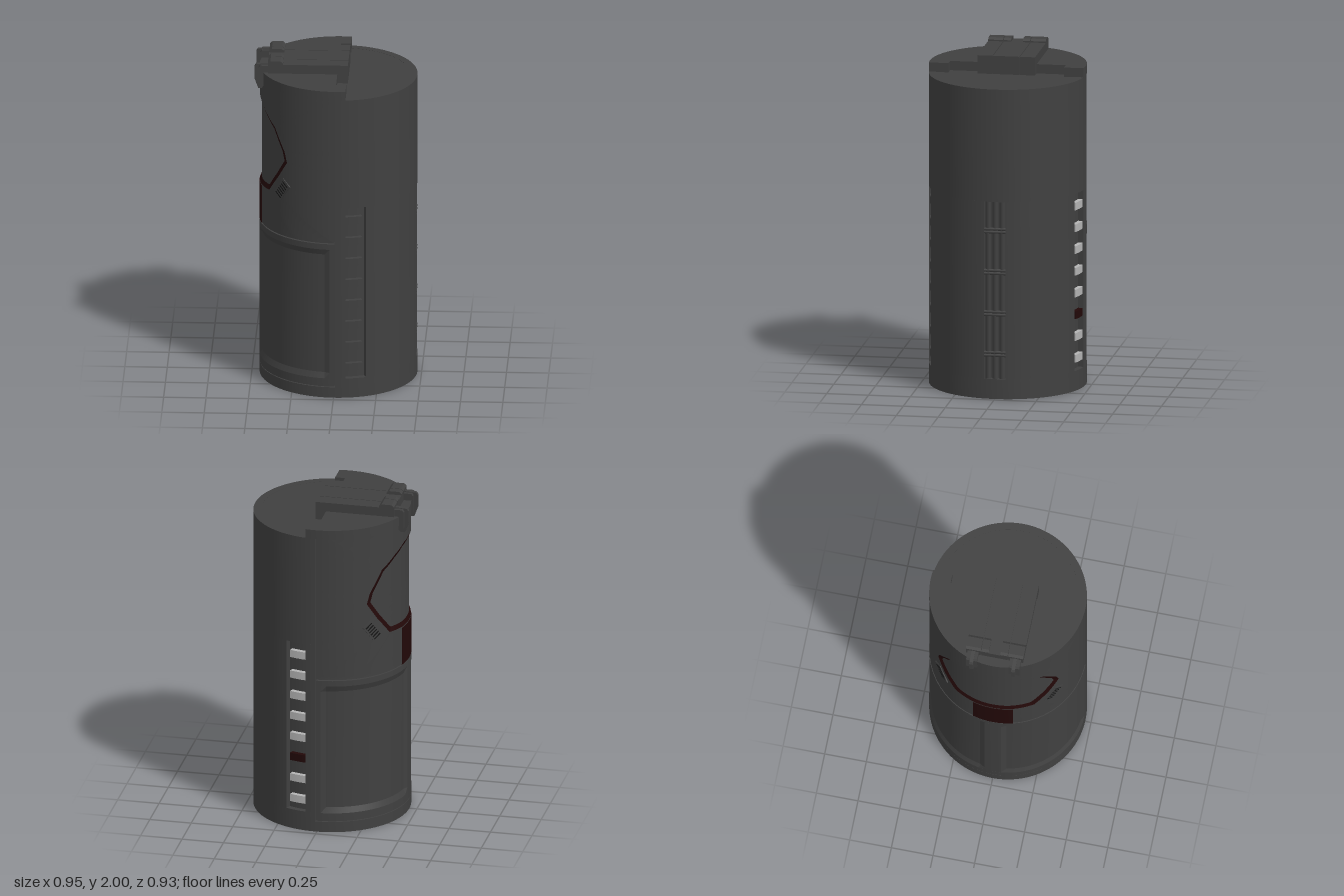
import * as THREE from 'three';
import { toCreasedNormals } from 'three/addons/utils/BufferGeometryUtils.js';

const CX = 0.01, R = 0.465, D = Math.PI / 180;
const mat = (name, color) => Object.assign(new THREE.MeshStandardMaterial({ color }), { name });

export function createModel() {
  const model = new THREE.Group();
  const grey = mat('dark grey', 0x404040);
  const red = mat('dark red', 0x220808);
  const light = mat('light grey', 0xb4b4b4);
  const black = mat('vent black', 0x161616);

  const add = (name, geo, material = grey, parent = model) => {
    const m = new THREE.Mesh(geo, material);
    m.name = name;
    parent.add(m);
    return m;
  };
  const box = (name, x0, x1, y0, y1, z0, z1, material) =>
    add(name, new THREE.BoxGeometry(x1 - x0, y1 - y0, z1 - z0), material)
      .position.set((x0 + x1) / 2, (y0 + y1) / 2, (z0 + z1) / 2);

  // Upright prism from a plan outline in x and z
  const prism = (pts, y0, y1) => {
    const g = new THREE.ExtrudeGeometry(new THREE.Shape(pts), { depth: y1 - y0, bevelEnabled: false });
    g.rotateX(Math.PI / 2).translate(CX, y1, 0);
    return toCreasedNormals(g, 0.4);
  };
  const arc = (r, a0, a1) => {
    const n = Math.max(2, Math.ceil(Math.abs(a1 - a0) / 2.5));
    return Array.from({ length: n + 1 }, (_, i) => {
      const a = (a0 + (a1 - a0) * i / n) * D;
      return new THREE.Vector2(r * Math.cos(a), r * Math.sin(a));
    });
  };
  // Curved wall piece; angles in degrees from +x towards +z
  const sector = (name, a0, a1, r0, r1, y0, y1, material) =>
    add(name, prism([...arc(r1, a0, a1), ...arc(r0, a1, a0)], y0, y1), material);

  // Point on the door side: t is the angle from -x towards +z
  const onDoor = (t, y, r) => [CX - r * Math.cos(t), y, r * Math.sin(t)];
  const mesh = (points, index) => {
    const g = new THREE.BufferGeometry();
    g.setAttribute('position', new THREE.Float32BufferAttribute(points.flat(), 3));
    g.setIndex(index);
    g.computeVertexNormals();
    return g;
  };

  // Main body with three sunken slots
  const core = add('core', new THREE.CylinderGeometry(0.432, 0.432, 1.868, 96));
  core.position.set(CX, 0.935, 0);
  sector('bodyBase', -90, 90, 0.42, R, 0, 0.12);
  sector('bodyUpper', -90, 90, 0.42, R, 1.19, 1.87);
  for (const s of [1, -1]) {
    sector('bodyWall', s * 8, s * 67.2, 0.42, R, 0.12, 1.19);
    sector('bodyEdge', s * 82.6, s * 90, 0.42, R, 0.12, 1.19);
  }
  sector('doorBase', 90, 270, 0.42, R, 0, 0.065);

  // Row of indicator bars in each side slot
  for (const s of [1, -1]) for (let i = 0; i < 8; i++) {
    const y = 1.11 - i * 0.1315;
    const m = s > 0 ? grey : i === 5 ? red : light;
    sector('indicatorBar', s * 69.8, s * 82.6, 0.42, 0.459, y - 0.023, y + 0.023, m);
  }

  // Grille in the slot opposite the door
  for (const z of [-0.042, 0, 0.042])
    add('grilleBar', new THREE.CylinderGeometry(0.017, 0.017, 1.07, 12)).position.set(CX + 0.442, 0.655, z);
  for (const y of [0.27, 0.515, 0.765, 1.015])
    for (const dy of [-0.009, 0.009]) {
      const c = add('grilleDivider', new THREE.CylinderGeometry(0.009, 0.009, 0.128, 8));
      c.rotation.x = Math.PI / 2;
      c.position.set(CX + 0.453, y + dy, 0);
    }

  // Lower door: frame and two bevelled recessed panels
  const RL = 0.466;
  sector('doorFrameBottom', 90.5, 269.5, 0.42, RL, 0.07, 0.12);
  sector('doorFrameTop', 90.5, 269.5, 0.42, RL, 0.93, 0.965);
  sector('doorFrameCentre', 174, 186, 0.42, RL, 0.12, 0.93);
  for (const s of [1, -1]) {
    sector('doorFrameSide', 180 - s * 86, 180 - s * 89.5, 0.42, RL, 0.12, 0.93);
    const ts = [6, 10];
    for (let t = 13; t < 82; t += 3) ts.push(t);
    ts.push(82, 86);
    const cols = s > 0 ? ts : ts.map(t => -t).reverse();
    const rows = [0.12, 0.155, 0.895, 0.93];
    const pts = [], idx = [], n = cols.length;
    rows.forEach((y, j) => cols.forEach((t, i) => {
      const rim = j === 0 || j === 3 || i === 0 || i === n - 1;
      pts.push(onDoor(t * D, y, rim ? RL : 0.453));
      if (j && i) {
        const a = (j - 1) * n + i - 1;
        idx.push(a, a + 1, a + n + 1, a, a + n + 1, a + n);
      }
    }));
    add('doorPanel', toCreasedNormals(mesh(pts, idx), 0.2));
  }

  // Upper door: rings run from its rectangular edge to the sunken window
  const RU = 0.463, CY = 1.47;
  const half = [[0, 1.206], [12.5, 1.206], [30.7, 1.217], [42.5, 1.33], [51.4, 1.434],
    [49, 1.5], [38.5, 1.63], [25, 1.695], [12.5, 1.738], [0, 1.752]].map(([t, y]) => [t * D * RU, y - CY]);
  const win = [...half, ...half.slice(1, -1).reverse().map(([x, y]) => [-x, y])];
  const inner = win.map(([x, y]) => [x * 0.93, y * 0.9]);
  const w = 89.6 * D * RU;
  const rect = [[-w, -0.5], [w, -0.5], [w, 0.4], [w, 0.455], [-w, 0.455]];
  const dirs = [...win, ...rect].map(([x, y]) => Math.atan2(y, x));
  for (let i = 0; i < 120; i++) dirs.push(-Math.PI + (i + 0.37) * Math.PI / 60);
  dirs.sort((a, b) => a - b);
  const hit = (poly, a) => {
    const dx = Math.cos(a), dy = Math.sin(a);
    let best = 0;
    poly.forEach((p, i) => {
      const q = poly[(i + 1) % poly.length], ex = q[0] - p[0], ey = q[1] - p[1];
      const den = dx * ey - dy * ex;
      if (Math.abs(den) < 1e-9) return;
      const t = (p[0] * ey - p[1] * ex) / den, u = (p[0] * dy - p[1] * dx) / den;
      if (u > -1e-6 && u < 1 + 1e-6) best = Math.max(best, t);
    });
    return [dx * best, dy * best];
  };
  const ringSurface = (polyA, polyB, rA, rB, steps) => {
    const pts = [], idx = [], n = dirs.length;
    for (let k = 0; k <= steps; k++) dirs.forEach((a, i) => {
      const A = hit(polyA, a), B = polyB ? hit(polyB, a) : [0, 0], f = k / steps;
      pts.push(onDoor((A[0] + (B[0] - A[0]) * f) / RU, CY + A[1] + (B[1] - A[1]) * f, rA + (rB - rA) * f));
      if (k) {
        const p = (k - 1) * n + i, q = (k - 1) * n + (i + 1) % n;
        idx.push(p, q, q + n, p, q + n, p + n);
      }
    });
    return mesh(pts, idx);
  };
  add('upperDoor', ringSurface(rect, win, RU, RU, 14));
  add('windowOutline', ringSurface(win, inner, RU, 0.452, 2), red);
  add('windowPanel', ringSurface(inner, null, 0.452, 0.452, 14));
  sector('redPlate', 165, 195, 0.46, 0.4655, 0.967, 1.2, red);

  // Slanted vents below the window
  for (const s of [1, -1]) {
    const t = 46.5 * D, v = new THREE.Group();
    v.name = 'vent';
    v.position.set(CX - RU * Math.cos(t), 1.258, s * RU * Math.sin(t));
    v.rotation.set(0, Math.atan2(-Math.cos(t), s * Math.sin(t)), -s * 0.65);
    add('ventFrame', new THREE.BoxGeometry(0.07, 0.13, 0.008), grey, v);
    for (let i = 0; i < 6; i++)
      add('ventSlit', new THREE.BoxGeometry(0.05, 0.008, 0.004), black, v).position.set(0, (i - 2.5) * 0.019, 0.003);
    model.add(v);
  }

  // Raised lid with a stepped edge
  const corner = [[0.06, -0.345], [0, -0.345], [0, 0.345], [0.06, 0.345]].map(p => new THREE.Vector2(...p));
  add('lid', prism([...arc(R, 82.6, 277.4), ...corner], 1.868, 1.925));

  // Hinge block of three slabs with raised ends
  box('hingeCore', -0.395, 0.065, 1.87, 1.97, -0.16, 0.16);
  box('hingeSlabCentre', -0.4, 0.072, 1.87, 1.98, -0.078, 0.078);
  const profile = (name, pts, z0, z1) => {
    const g = new THREE.ExtrudeGeometry(new THREE.Shape(pts.map(p => new THREE.Vector2(...p))),
      { depth: z1 - z0, bevelEnabled: false });
    add(name, g.translate(0, 0, z0));
  };
  const bump = [[-0.4, 1.975], [-0.31, 1.975], [-0.31, 1.988], [-0.325, 2], [-0.385, 2], [-0.4, 1.988]];
  const latch = [[-0.4, 1.975], [-0.47, 1.97], [-0.48, 1.955], [-0.48, 1.88], [-0.458, 1.82],
    [-0.436, 1.82], [-0.436, 1.88], [-0.4, 1.9]];
  const latchBase = [[-0.4, 1.968], [-0.445, 1.968], [-0.455, 1.955], [-0.455, 1.85], [-0.435, 1.83], [-0.4, 1.88]];
  for (const s of [1, -1]) {
    const span = (a, b) => s > 0 ? [a, b] : [-b, -a];
    box('hingeSlabSide', -0.4, 0.072, 1.87, 1.98, ...span(0.083, 0.172));
    profile('hingeBumpInner', bump, ...span(0.035, 0.078));
    profile('hingeBumpOuter', bump, ...span(0.083, 0.172));
    profile('latchBase', latchBase, ...span(0.095, 0.16));
    profile('latch', latch, ...span(0.115, 0.137));
  }
  return model;
}
